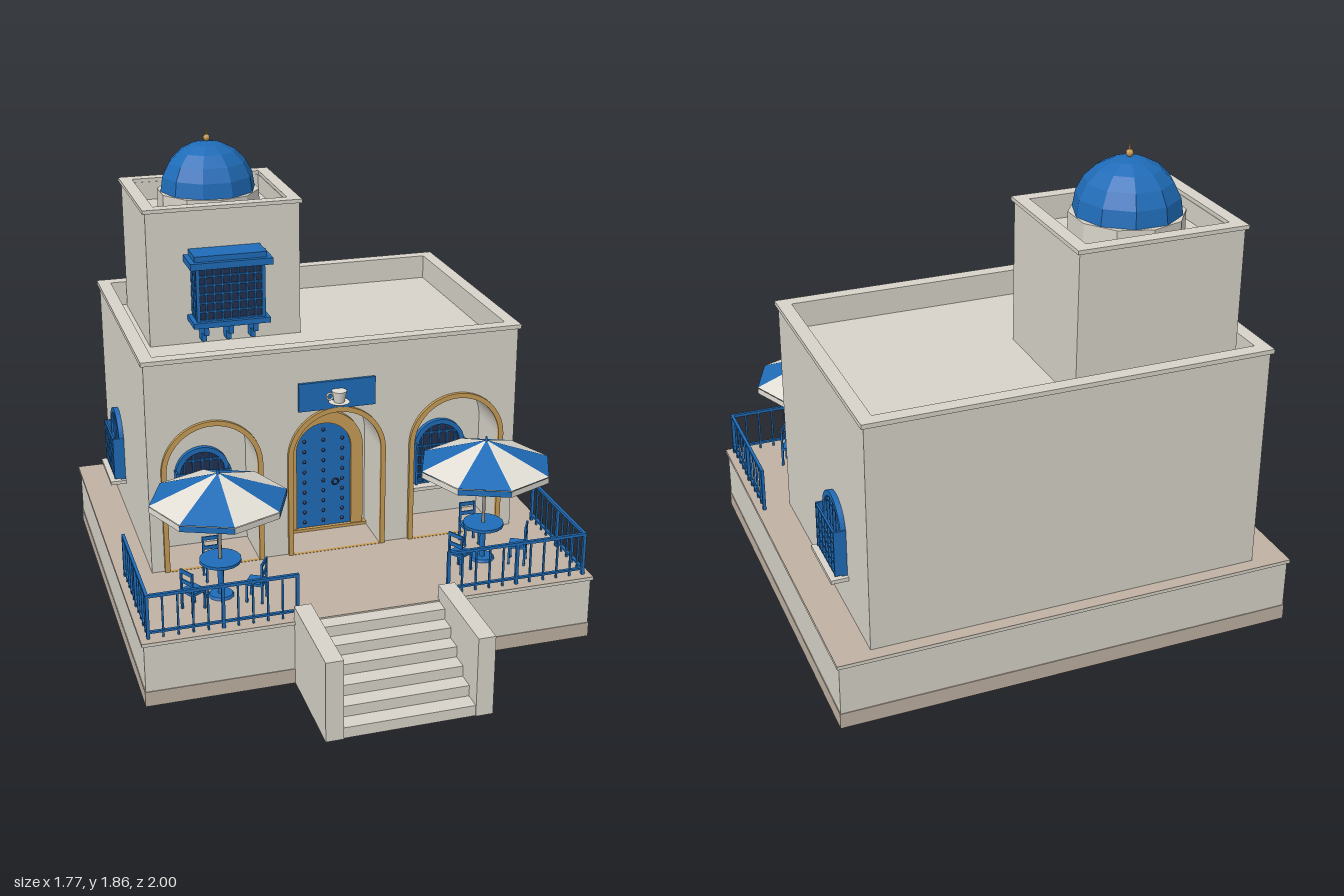
import * as THREE from 'three';

const mat = (name, color, side = THREE.FrontSide) => {
  const m = new THREE.MeshStandardMaterial({ color, side });
  m.name = name;
  return m;
};

export function createModel() {
  const root = new THREE.Group();
  root.name = 'courtyardCafe';
  const stone = mat('stone', 0xd8d4ca), tan = mat('tan paving', 0xc0b2a3), blue = mat('blue paint', 0x1f6cb8);
  const gold = mat('ochre trim', 0xc79c56), dark = mat('dark glass', 0x222f4e), metal = mat('grey metal', 0x8d8c88);
  const clothBlue = mat('blue cloth', 0x1f6cb8, THREE.DoubleSide);
  const clothWhite = mat('white cloth', 0xe2ded5, THREE.DoubleSide);

  const add = (parent, name, geo, m, x = 0, y = 0, z = 0) => {
    const mesh = new THREE.Mesh(geo, m);
    mesh.name = name;
    mesh.position.set(x, y, z);
    parent.add(mesh);
    return mesh;
  };
  const group = (parent, name, x = 0, y = 0, z = 0, ry = 0) => {
    const g = new THREE.Group();
    g.name = name;
    g.position.set(x, y, z);
    g.rotation.y = ry;
    parent.add(g);
    return g;
  };
  const box = (parent, name, m, x0, x1, y0, y1, z0, z1) =>
    add(parent, name, new THREE.BoxGeometry(x1 - x0, y1 - y0, z1 - z0), m, (x0 + x1) / 2, (y0 + y1) / 2, (z0 + z1) / 2);
  const cyl = (parent, name, m, r0, r1, h, n, x, y, z) =>
    add(parent, name, new THREE.CylinderGeometry(r0, r1, h, n).toNonIndexed(), m, x, y, z);
  const extrude = (shape, depth) => new THREE.ExtrudeGeometry(shape, { depth, bevelEnabled: false, curveSegments: 14 });

  // Round-headed outline, and the same with a smaller opening cut out
  const arch = (r, y0, spring, Kind = THREE.Shape) => {
    const s = new Kind();
    s.moveTo(-r, y0);
    s.lineTo(r, y0);
    s.lineTo(r, spring);
    s.absarc(0, spring, r, 0, Math.PI, false);
    s.lineTo(-r, y0);
    return s;
  };
  const archRing = (ro, ri, y0, spring, depth, lift = 0.001) => {
    const s = arch(ro, y0, spring);
    s.holes.push(arch(ri, y0 + lift, spring, THREE.Path));
    return extrude(s, depth);
  };

  // Rectangular wall ring seen from above
  const rect = (Kind, x0, x1, z0, z1) => {
    const s = new Kind();
    s.moveTo(x0, -z1); s.lineTo(x1, -z1); s.lineTo(x1, -z0); s.lineTo(x0, -z0); s.lineTo(x0, -z1);
    return s;
  };
  const wallRing = (parent, name, x0, x1, z0, z1, t, y0, y1) => {
    const s = rect(THREE.Shape, x0, x1, z0, z1);
    s.holes.push(rect(THREE.Path, x0 + t, x1 - t, z0 + t, z1 - t));
    return add(parent, name, extrude(s, y1 - y0).rotateX(-Math.PI / 2), stone, 0, y0, 0);
  };

  // Terrace
  box(root, 'plinth', tan, -0.88, 0.88, 0, 0.06, -0.995, 0.6);
  box(root, 'terraceBase', stone, -0.877, 0.877, 0.06, 0.25, -0.992, 0.597);
  box(root, 'terraceEdge', stone, -0.885, 0.885, 0.25, 0.261, -1, 0.605);
  box(root, 'terraceFloor', tan, -0.885, 0.885, 0.261, 0.264, -1, 0.605);

  // Front stairs and cheek walls
  const stairs = group(root, 'stairs');
  for (let i = 0; i < 6; i++)
    box(stairs, 'step', stone, -0.25, 0.25, 0, 0.043 * (i + 1), 0.59, 0.995 - i * 0.066);
  for (const s of [-1, 1])
    box(stairs, 'cheekWall', stone, s * 0.282 - 0.033, s * 0.282 + 0.033, 0, 0.32, 0.588, 1);

  // Main building with three arched niches in its front wall
  const F = 0.085, B = -0.115, G = 0.264, SP = 0.68, R = 0.18;
  const house = group(root, 'house');
  box(house, 'mainBlock', stone, -0.75, 0.75, G, 1.04, -0.95, B);
  const front = new THREE.Shape();
  front.moveTo(-0.75, G);
  for (const c of [-0.5, 0, 0.5]) {
    front.lineTo(c - R, G);
    front.lineTo(c - R, SP);
    front.absarc(c, SP, R, Math.PI, 0, true);
    front.lineTo(c + R, G);
  }
  front.lineTo(0.75, G);
  front.lineTo(0.75, 1.04);
  front.lineTo(-0.75, 1.04);
  add(house, 'arcadeWall', extrude(front, F - B), stone, 0, 0, B);
  wallRing(house, 'parapet', -0.75, 0.75, -0.95, F, 0.042, 1.04, 1.125);
  wallRing(house, 'parapetCoping', -0.76, 0.76, -0.96, F + 0.01, 0.052, 1.125, 1.142);
  for (const c of [-0.5, 0, 0.5])
    add(house, 'archTrim', archRing(0.2, R, G, SP, 0.014), gold, c, 0, F);

  // Door
  const door = group(house, 'door', 0, 0, B);
  add(door, 'doorFrame', archRing(0.165, 0.115, G, 0.622, 0.025), gold);
  add(door, 'doorLeaf', extrude(arch(0.116, G, 0.622), 0.014), blue);
  box(door, 'threshold', gold, -R, R, G, G + 0.012, 0, 0.03);
  for (let i = 0; i < 10; i++)
    for (const x of [-0.08, 0, 0.08])
      if (i < 9 || x === 0)
        add(door, 'doorStud', new THREE.SphereGeometry(0.008, 6, 4), dark, x, 0.3 + i * 0.045, 0.015);
  add(door, 'doorRing', new THREE.TorusGeometry(0.013, 0.004, 6, 12), dark, 0.05, 0.47, 0.02);

  // Arched window with a projecting grille, facing +z
  const archWindow = (x, z, ry) => {
    const w = group(house, 'archedWindow', x, 0, z, ry);
    add(w, 'glass', extrude(arch(0.1, 0.415, 0.58), 0.006), dark);
    add(w, 'frame', archRing(0.11, 0.09, 0.415, 0.58, 0.02, 0.015), blue);
    box(w, 'sill', stone, -0.125, 0.125, 0.4, 0.415, 0, 0.065);
    for (let i = -2; i <= 2; i++) {
      const bx = i * 0.036, top = 0.58 + Math.sqrt(0.1 * 0.1 - bx * bx);
      box(w, 'windowBar', blue, bx - 0.003, bx + 0.003, 0.415, top, 0.006, 0.014);
      box(w, 'grilleBar', blue, bx - 0.003, bx + 0.003, 0.425, 0.595, 0.038, 0.046);
    }
    for (let j = 0; j < 5; j++) {
      const by = 0.425 + j * 0.041;
      box(w, 'grilleRail', blue, -0.107, 0.107, by, by + 0.007, 0.038, 0.046);
    }
    box(w, 'upperBar', blue, -0.085, 0.085, 0.63, 0.636, 0.006, 0.014);
    for (const s of [-1, 1])
      box(w, 'grilleSide', blue, s * 0.107 - 0.004, s * 0.107 + 0.004, 0.42, 0.6, 0, 0.046);
  };
  archWindow(-0.5, B, 0);
  archWindow(0.5, B, 0);
  archWindow(0.75, -0.595, Math.PI / 2);
  archWindow(-0.75, -0.595, -Math.PI / 2);

  // Sign board with a cup and saucer
  const sign = group(house, 'sign', 0, 0, F);
  box(sign, 'signBoard', blue, -0.155, 0.155, 0.875, 0.99, 0, 0.012);
  cyl(sign, 'saucer', clothWhite, 0.042, 0.028, 0.008, 12, 0, 0.908, 0.035);
  cyl(sign, 'cup', clothWhite, 0.03, 0.021, 0.045, 12, 0, 0.935, 0.035);
  add(sign, 'cupHandle', new THREE.TorusGeometry(0.013, 0.004, 6, 12), clothWhite, -0.037, 0.937, 0.035);

  // Tower and dome
  const tower = group(root, 'tower');
  box(tower, 'towerBlock', stone, -0.645, -0.025, 1.04, 1.51, -0.89, -0.345);
  wallRing(tower, 'towerParapet', -0.645, -0.025, -0.89, -0.345, 0.042, 1.51, 1.585);
  wallRing(tower, 'towerCoping', -0.655, -0.015, -0.9, -0.337, 0.05, 1.585, 1.6);
  const flat = (m) => { const c = m.clone(); c.flatShading = true; return c; };
  cyl(tower, 'domeDrum', flat(stone), 0.208, 0.208, 0.09, 10, -0.335, 1.555, -0.615);
  const domeGeo = new THREE.SphereGeometry(0.195, 10, 5, 0, Math.PI * 2, 0, Math.PI / 2);
  add(tower, 'dome', domeGeo, flat(blue), -0.335, 1.6, -0.615);
  add(tower, 'finialBall', new THREE.SphereGeometry(0.014, 10, 8), gold, -0.335, 1.808, -0.615);
  cyl(tower, 'finialSpike', gold, 0.002, 0.006, 0.06, 8, -0.335, 1.825, -0.615);

  // Latticed bay window on brackets
  const bay = group(tower, 'bayWindow', -0.335, 0, -0.345);
  box(bay, 'bayGlass', dark, -0.13, 0.13, 1.16, 1.385, 0, 0.1);
  box(bay, 'baySlab', blue, -0.155, 0.155, 1.14, 1.162, 0, 0.125);
  box(bay, 'bayCornice', blue, -0.165, 0.165, 1.383, 1.41, 0, 0.14);
  box(bay, 'bayRoof', blue, -0.145, 0.145, 1.41, 1.432, 0, 0.12);
  for (let i = 0; i < 9; i++) {
    const x = -0.132 + i * 0.033, w = i % 8 ? 0.003 : 0.007;
    box(bay, 'bayBar', blue, x - w, x + w, 1.16, 1.385, 0.098, 0.11);
  }
  for (let j = 0; j < 7; j++) {
    const y = 1.165 + j * 0.036;
    box(bay, 'bayRail', blue, -0.137, 0.137, y - 0.003, y + 0.003, 0, 0.108);
  }
  for (const s of [-1, 1])
    for (const z of [0.006, 0.04, 0.073])
      box(bay, 'baySideBar', blue, s * 0.133 - 0.005, s * 0.133 + 0.005, 1.16, 1.385, z - 0.004, z + 0.004);
  for (const x of [-0.1, 0, 0.1]) {
    box(bay, 'bracketUpper', blue, x - 0.01, x + 0.01, 1.1, 1.14, 0, 0.1);
    box(bay, 'bracketLower', blue, x - 0.01, x + 0.01, 1.06, 1.1, 0, 0.05);
  }

  // Railings around both sides of the terrace
  for (const s of [-1, 1]) {
    const rail = group(root, 'railing');
    const bar = (xa, xb, y0, y1, z0, z1) =>
      box(rail, 'railBar', blue, Math.min(s * xa, s * xb), Math.max(s * xa, s * xb), y0, y1, z0, z1);
    for (const [y0, y1] of [[0.285, 0.293], [0.43, 0.442]]) {
      bar(0.29, 0.86, y0, y1, 0.563, 0.575);
      bar(0.848, 0.86, y0, y1, 0.07, 0.575);
    }
    for (let i = 0; i <= 10; i++) {
      const x = 0.296 + i * 0.0558, w = i % 5 ? 0.0035 : 0.006;
      bar(x - w, x + w, G, 0.435, 0.569 - w, 0.569 + w);
      const z = 0.076 + i * 0.0493;
      if (i < 10) bar(0.854 - w, 0.854 + w, G, 0.435, z - w, z + w);
    }
  }

  // Tables with striped parasols and three chairs each
  for (const s of [-1, 1]) {
    const set = group(root, 'tableSet', s * 0.53, 0, 0.33);
    cyl(set, 'parasolPole', metal, 0.007, 0.007, 0.5, 8, 0, 0.515, 0);
    cyl(set, 'parasolTip', blue, 0.003, 0.008, 0.02, 8, 0, 0.777, 0);
    for (let i = 0; i < 8; i++) {
      const m = i % 2 ? clothBlue : clothWhite, a = i * Math.PI / 4;
      add(set, 'canopyPanel', new THREE.ConeGeometry(0.262, 0.1, 1, 1, true, a, Math.PI / 4).toNonIndexed(), flat(m), 0, 0.722, 0);
      add(set, 'valancePanel', new THREE.CylinderGeometry(0.262, 0.262, 0.024, 1, 1, true, a, Math.PI / 4), flat(m), 0, 0.658, 0);
    }
    cyl(set, 'tableTop', blue, 0.08, 0.08, 0.012, 16, 0, 0.415, 0);
    cyl(set, 'tableLeg', blue, 0.012, 0.012, 0.15, 8, 0, 0.335, 0);
    cyl(set, 'tableFoot', blue, 0.045, 0.05, 0.01, 12, 0, 0.269, 0);
    for (let k = 0; k < 3; k++) {
      const a = Math.PI + k * Math.PI * 2 / 3;
      const chair = group(set, 'chair', Math.sin(a) * 0.14, 0, Math.cos(a) * 0.14, a);
      box(chair, 'seat', blue, -0.034, 0.034, 0.335, 0.346, -0.034, 0.034);
      for (const x of [-0.03, 0.03]) {
        box(chair, 'frontLeg', blue, x - 0.004, x + 0.004, G, 0.335, -0.034, -0.026);
        box(chair, 'backPost', blue, x - 0.004, x + 0.004, G, 0.43, 0.026, 0.034);
      }
      for (const y of [0.375, 0.415])
        box(chair, 'backSlat', blue, -0.034, 0.034, y, y + 0.015, 0.027, 0.033);
    }
  }
  return root;
}
